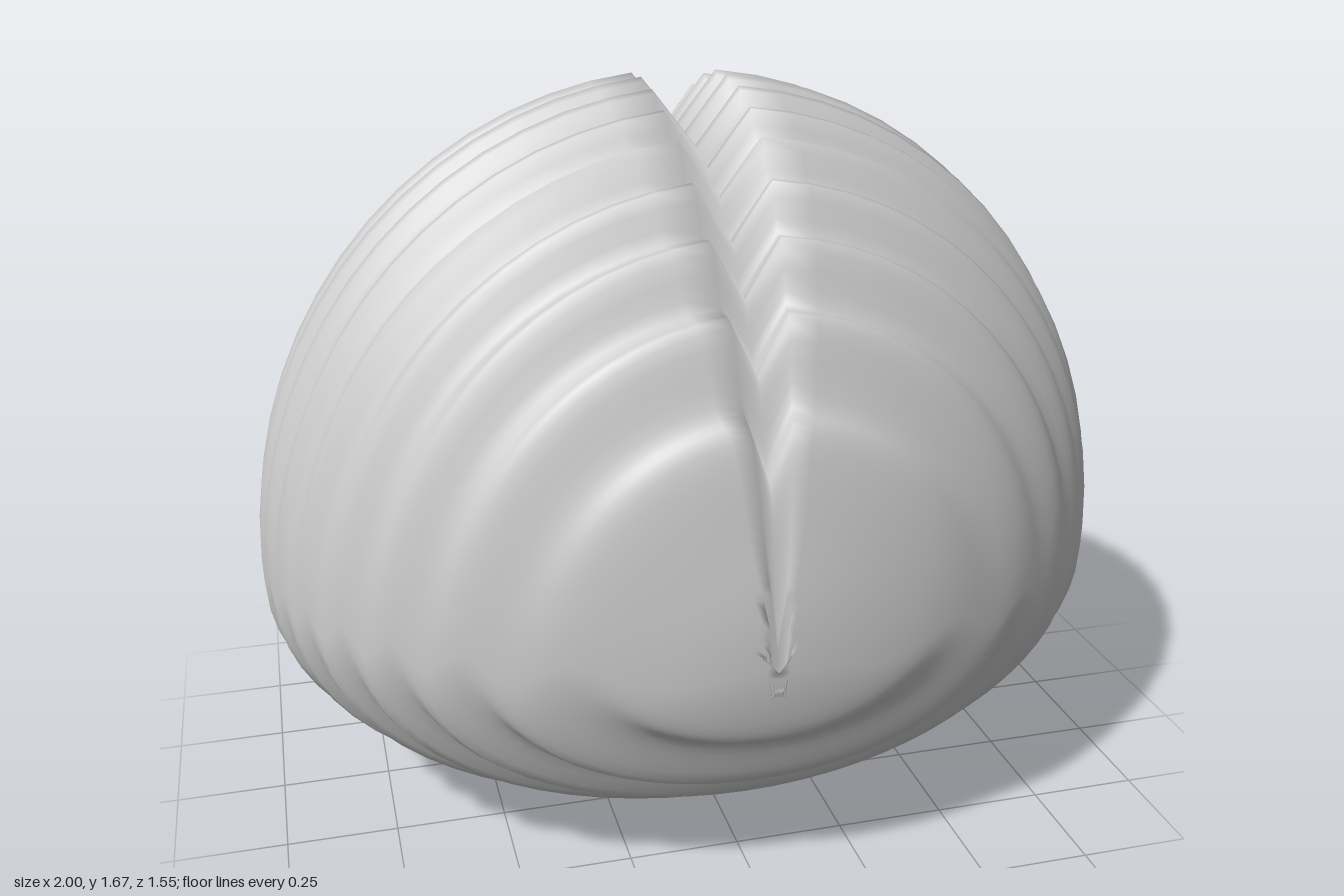
import * as THREE from 'three';
import { mergeVertices } from 'three/addons/utils/BufferGeometryUtils.js';

const HALF_DEPTH = 0.775; // along z
const TOP = 1.06;         // height of the dome above the widest line
const BOTTOM = 0.57;      // depth of the flatter underside
const WAIST = 0.6;        // height of the widest line
const GROOVE = 0.13;      // depth of the V groove along the top
const RIPPLE = 0.026;     // height of the cross ridges

// Sphere with its poles on z, reshaped vertex by vertex.
function createShell() {
  let geometry = new THREE.SphereGeometry(1, 64, 128).rotateX(Math.PI / 2);
  geometry.deleteAttribute('uv');
  geometry.deleteAttribute('normal');
  geometry = mergeVertices(geometry, 1e-5);

  const p = geometry.attributes.position;
  for (let i = 0; i < p.count; i++) {
    const x = p.getX(i);
    const z = p.getZ(i);
    let y = p.getY(i) * TOP;

    // the centre line of the upper half sinks into a groove
    if (y > 0.001 && Math.abs(x) < 0.015) y -= GROOVE;
    // flatter underside
    if (y < 0) y *= BOTTOM / TOP;
    // ridges across the body
    y += RIPPLE * Math.sin(50 * z);

    p.setXYZ(i, x, y + WAIST, z * HALF_DEPTH);
  }
  geometry.computeVertexNormals();
  return geometry;
}

export function createModel() {
  const group = new THREE.Group();
  group.name = 'ridgedLobedBody';
  const material = new THREE.MeshStandardMaterial({ color: 0xcccccc });
  const shell = new THREE.Mesh(createShell(), material);
  shell.name = 'ridgedShell';
  group.add(shell);
  return group;
}
